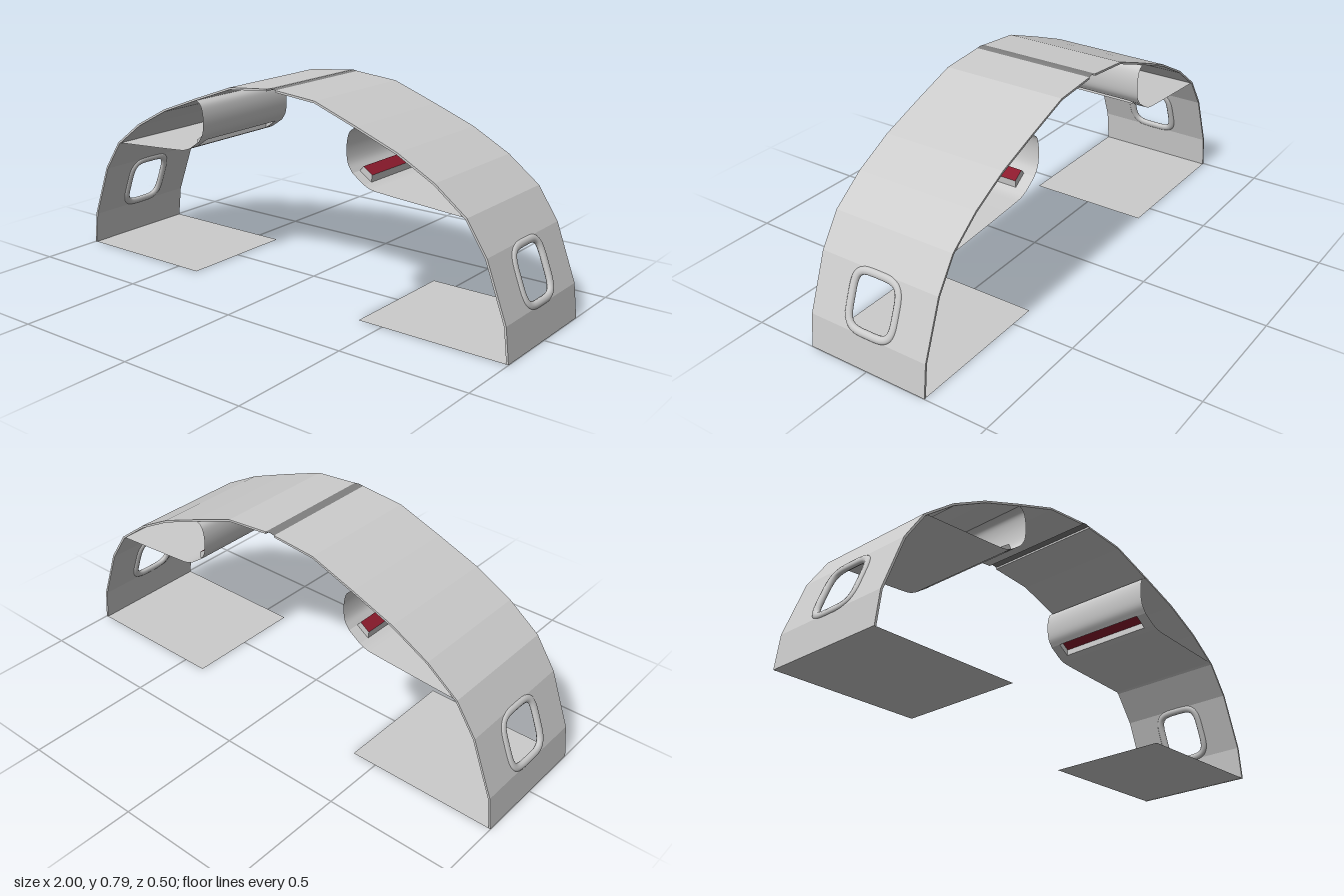
import * as THREE from 'three';

const HALF = 0.25; // half the depth of the section
const mat = (name, color, side = THREE.FrontSide) => {
  const m = new THREE.MeshStandardMaterial({ color, side });
  m.name = name;
  return m;
};

// Open sheet swept along z from a list of [x, y] points
function sheet(points, z0, z1) {
  const pos = [], index = [];
  points.forEach(([x, y]) => pos.push(x, y, z0, x, y, z1));
  for (let i = 0; i < points.length - 1; i++) {
    const a = i * 2;
    index.push(a, a + 2, a + 1, a + 1, a + 2, a + 3);
  }
  const g = new THREE.BufferGeometry();
  g.setAttribute('position', new THREE.Float32BufferAttribute(pos, 3));
  g.setIndex(index);
  g.computeVertexNormals();
  return g;
}

// Rounded, slightly bulging window outline
function windowOutline(halfW, halfH, cy, n = 40) {
  const pts = [];
  for (let i = 0; i < n; i++) {
    const t = (i / n) * Math.PI * 2, c = Math.cos(t), s = Math.sin(t);
    pts.push(new THREE.Vector2(
      halfW * Math.sign(c) * Math.sqrt(Math.abs(c)),
      cy + halfH * Math.sign(s) * Math.sqrt(Math.abs(s))));
  }
  return pts;
}

function smooth(points, n) {
  const c = new THREE.CatmullRomCurve3(points.map(([x, y]) => new THREE.Vector3(x, y, 0)));
  return c.getPoints(n).map(p => [p.x, p.y]);
}

export function createModel() {
  const model = new THREE.Group();
  model.name = 'cabinSection';

  const shellMat = mat('panelGrey', 0xcccccc);
  const sheetMat = mat('liningGrey', 0xcccccc, THREE.DoubleSide);
  const stripMat = mat('ceilingStripGrey', 0x808080, THREE.DoubleSide);
  const redMat = mat('handleRed', 0x8a1a2c, THREE.DoubleSide);

  // Wall and ceiling outline, from the floor to the centre strip
  const hull = [[1, 0], [0.985, 0.13], [0.905, 0.345], [0.825, 0.465], [0.7, 0.56],
    [0.55, 0.64], [0.38, 0.705], [0.2, 0.77], [0.02, 0.786]];

  function buildSide(name) {
    const side = new THREE.Group();
    side.name = name;
    const add = (geometry, material, label, parent = side) => {
      const m = new THREE.Mesh(geometry, material);
      m.name = label;
      parent.add(m);
      return m;
    };

    // Faceted hull panels, the second one holding the window
    for (let i = 0; i < hull.length - 1; i++) {
      const a = new THREE.Vector3(...hull[i], 0), b = new THREE.Vector3(...hull[i + 1], 0);
      const len = a.distanceTo(b);
      const up = b.clone().sub(a).normalize(), zAxis = new THREE.Vector3(0, 0, 1);
      const panel = new THREE.Group();
      panel.name = i < 3 ? 'wallPanel' : 'ceilingPanel';
      panel.quaternion.setFromRotationMatrix(
        new THREE.Matrix4().makeBasis(zAxis, up, zAxis.clone().cross(up)));
      panel.position.copy(a);
      side.add(panel);

      const shape = new THREE.Shape([[-HALF, 0], [HALF, 0], [HALF, len], [-HALF, len]]
        .map(p => new THREE.Vector2(...p)));
      if (i === 1) {
        shape.holes.push(new THREE.Path(windowOutline(0.092, 0.1, len / 2)));
        const curve = new THREE.CatmullRomCurve3(
          windowOutline(0.098, 0.106, len / 2).map(p => new THREE.Vector3(p.x, p.y, 0.004)), true);
        const rim = new THREE.TubeGeometry(curve, 80, 0.015, 10, true);
        rim.translate(0, 0, -0.004).scale(1, 1, 0.75).translate(0, 0, 0.004);
        add(rim, shellMat, 'windowRim', panel);
      }
      add(new THREE.ExtrudeGeometry(shape, { depth: 0.008, bevelEnabled: false }),
        shellMat, 'panel', panel);
    }

    // Floor
    const floor = add(new THREE.PlaneGeometry(0.6, HALF * 2).rotateX(-Math.PI / 2), sheetMat, 'floor');
    floor.position.x = 0.7;

    // Overhead bin, open at both ends
    const bin = new THREE.Group();
    bin.name = 'overheadBin';
    side.add(bin);
    const A = [0.366, 0.538], B = [0.415, 0.504], A2 = [0.381, 0.556], B2 = [0.418, 0.53];
    const front = smooth([[0.38, 0.703], [0.354, 0.685], [0.343, 0.655], [0.34, 0.61], [0.347, 0.568], A], 20);
    const base = smooth([B, [0.445, 0.492], [0.5, 0.486], [0.65, 0.476], [0.825, 0.465]], 16);
    add(sheet(front, -HALF, HALF), sheetMat, 'binFront', bin);
    add(sheet(base, -HALF, HALF), sheetMat, 'binBase', bin);

    // Recessed red handle along the lower edge of the bin
    const h = 0.205;
    add(sheet([A, A2], -h, h), sheetMat, 'recessTop', bin);
    add(sheet([B2, B], -h, h), sheetMat, 'recessBottom', bin);
    add(sheet([A2, B2], -h, h), redMat, 'binHandle', bin);
    for (const s of [-1, 1]) {
      add(sheet([A, B], Math.min(s * h, s * HALF), Math.max(s * h, s * HALF)), sheetMat, 'binCorner', bin);
      const cap = new THREE.Shape([A, A2, B2, B].map(p => new THREE.Vector2(...p)));
      add(new THREE.ShapeGeometry(cap), sheetMat, 'recessEnd', bin).position.z = s * h;
    }
    return side;
  }

  const left = buildSide('leftSide');
  const right = buildSide('rightSide');
  right.rotation.y = Math.PI;
  model.add(left, right);

  // Strip along the middle of the ceiling
  const strip = new THREE.Mesh(
    sheet([[0.02, 0.786], [0, 0.789], [-0.02, 0.786]].reverse(), -HALF, HALF), stripMat);
  strip.geometry.index.array.reverse();
  strip.geometry.computeVertexNormals();
  strip.name = 'ceilingStrip';
  model.add(strip);

  return model;
}
